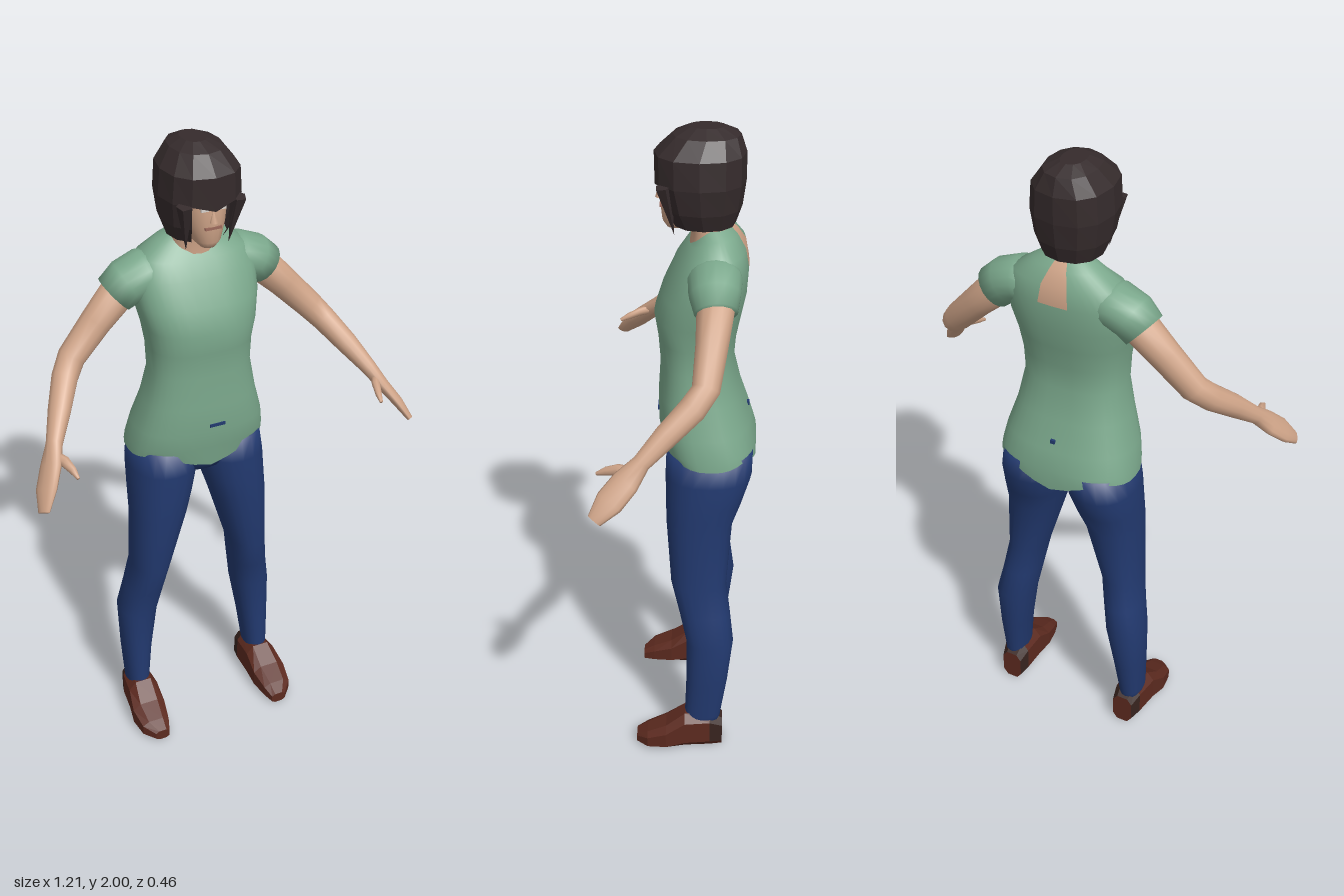
import * as THREE from 'three';

const mat = (name, color, extra = {}) => Object.assign(new THREE.MeshStandardMaterial({ color, ...extra }), { name });
const M = {
  shirt: mat('sage shirt', 0x7ba88c, { side: THREE.DoubleSide }),
  skin: mat('skin', 0xcfa488),
  jeans: mat('blue denim', 0x22396f),
  hair: mat('dark hair', 0x352b2c, { side: THREE.DoubleSide }),
  shoe: mat('brown leather', 0x5c2a1f),
  shoeDark: mat('dark leather', 0x38241f),
  lips: mat('lips', 0x9c6a5c),
  eye: mat('eye white', 0xd8d2cc),
};

// Rounded-square cosine/sine for cross-sections
const soft = (v, p) => Math.sign(v) * Math.abs(v) ** p;

// Horizontal ring from a side-to-side radius and front/back depths
function slice(y, cx, rx, zf, zb, n = 20, p = 0.9, lift = () => 0) {
  return Array.from({ length: n }, (_, j) => {
    const a = (j / n) * Math.PI * 2, c = Math.cos(a), s = Math.sin(a);
    return new THREE.Vector3(cx + rx * soft(c, p), y + lift(c, s), (zf + zb) / 2 + ((zf - zb) / 2) * soft(s, p));
  });
}

// Rings square to a path; each point is [x, y, z, wide radius, thin radius]
function pathRings(pts, thinAxis, n = 12) {
  const P = pts.map(q => new THREE.Vector3(q[0], q[1], q[2]));
  return P.map((c, i) => {
    const t = P[Math.min(i + 1, P.length - 1)].clone().sub(P[Math.max(i - 1, 0)]).normalize();
    const u = t.clone().cross(thinAxis).normalize(), v = t.clone().cross(u);
    return Array.from({ length: n }, (_, j) => {
      const a = (j / n) * Math.PI * 2;
      return c.clone().addScaledVector(u, pts[i][3] * Math.cos(a)).addScaledVector(v, pts[i][4] * Math.sin(a));
    });
  });
}

// Skin a list of rings; pick(i, j) gives the material index of a face, or -1 for a hole
function loft(rings, { flat = false, caps = [true, true], pick = () => 0, mirror = false } = {}) {
  const n = rings[0].length, pos = [], faces = [[], []];
  const pts = rings.flat();
  rings.forEach((r, i) => r.forEach((_, j) => {
    if (i === rings.length - 1) return;
    const m = pick(i, j);
    if (m < 0) return;
    const a = i * n + j, b = i * n + (j + 1) % n;
    faces[m].push(a, b, b + n, a, b + n, a + n);
  }));
  caps.forEach((on, e) => {
    if (!on) return;
    const base = e ? (rings.length - 1) * n : 0, ring = e ? rings[rings.length - 1] : rings[0];
    const mid = pts.push(ring.reduce((s, q) => s.add(q), new THREE.Vector3()).divideScalar(n)) - 1;
    for (let j = 0; j < n; j++) {
      const a = base + j, b = base + (j + 1) % n;
      faces[0].push(...(e ? [a, b, mid] : [b, a, mid]));
    }
  });
  pts.forEach(q => pos.push(mirror ? -q.x : q.x, q.y, q.z));
  const index = faces.flat();
  // Turn every face outward
  const at = k => new THREE.Vector3().fromArray(pos, k * 3);
  const mid = pts.reduce((s, q) => s.add(q), new THREE.Vector3()).divideScalar(pts.length);
  mid.set(0, 0, 0);
  pts.forEach((_, k) => mid.addScaledVector(at(k), 1 / pts.length));
  let volume = 0;
  for (let k = 0; k < index.length; k += 3) {
    const [a, b, c] = [0, 1, 2].map(o => at(index[k + o]).sub(mid));
    volume += a.dot(b.cross(c));
  }
  if (volume < 0) for (let k = 0; k < index.length; k += 3) [index[k], index[k + 1]] = [index[k + 1], index[k]];
  let g = new THREE.BufferGeometry();
  g.setAttribute('position', new THREE.Float32BufferAttribute(pos, 3));
  g.setIndex(index);
  if (flat) g = g.toNonIndexed();
  g.addGroup(0, faces[0].length, 0);
  if (faces[1].length) g.addGroup(faces[0].length, faces[1].length, 1);
  else g.clearGroups();
  g.computeVertexNormals();
  return g;
}

export function createModel() {
  const model = new THREE.Group();
  model.name = 'woman';
  const add = (name, geo, material, x = 0, y = 0, z = 0) => {
    const m = new THREE.Mesh(geo, material);
    m.name = name;
    m.position.set(x, y, z);
    model.add(m);
    return m;
  };
  const pair = (name, rings, material, opts = {}) => {
    add('left' + name, loft(rings, opts), material);
    add('right' + name, loft(rings, { ...opts, mirror: true }), material);
  };

  // Shirt body: V hem, scooped neckline and a bare patch at the nape
  const hem = c => 0.05 * Math.min(1, Math.abs(c) * 1.5) - 0.012 * Math.max(0, Math.abs(c) - 0.8) * 5;
  const scoop = k => (c, s) => -k * Math.max(0, s);
  const torso = [
    [0.98, 0.217, 0.034, -0.238, hem], [1.05, 0.214, 0.045, -0.238], [1.11, 0.203, 0.055, -0.22],
    [1.2, 0.176, 0.056, -0.19], [1.3, 0.156, 0.05, -0.166], [1.38, 0.159, 0.056, -0.172],
    [1.45, 0.17, 0.067, -0.186], [1.52, 0.185, 0.045, -0.2], [1.6, 0.188, 0.008, -0.205],
    [1.655, 0.163, -0.022, -0.195, scoop(0.01)], [1.695, 0.105, -0.035, -0.17, scoop(0.035)],
    [1.715, 0.072, -0.04, -0.148, scoop(0.05)],
  ].map(([y, rx, zf, zb, lift]) => slice(y, 0, rx, zf, zb, 36, 0.8, lift));
  add('shirtBody', loft(torso, {
    caps: [false, false], pick: (i, j) => (i >= 8 && (j === 26 || j === 27) ? 1 : 0),
  }), [M.shirt, M.skin]);

  // Sleeves
  const across = new THREE.Vector3(0.75, 0.6, 0.12);
  pair('Sleeve', pathRings([
    [0.08, 1.6, -0.11, 0.07, 0.06], [0.15, 1.598, -0.108, 0.078, 0.068],
    [0.2, 1.578, -0.11, 0.072, 0.068], [0.238, 1.545, -0.114, 0.061, 0.064],
  ], across, 18), M.shirt);

  // Arms with flat hands and thumbs
  pair('Arm', pathRings([
    [0.2, 1.575, -0.115, 0.056, 0.056], [0.3, 1.475, -0.104, 0.046, 0.047], [0.385, 1.385, -0.09, 0.04, 0.042],
    [0.42, 1.345, -0.055, 0.04, 0.038], [0.465, 1.285, 0.015, 0.035, 0.033], [0.507, 1.225, 0.08, 0.026, 0.024],
    [0.535, 1.18, 0.122, 0.04, 0.019], [0.566, 1.135, 0.165, 0.041, 0.016], [0.59, 1.09, 0.205, 0.022, 0.009],
  ], across), M.skin);
  pair('Thumb', pathRings([
    [0.522, 1.2, 0.1, 0.018, 0.015], [0.499, 1.198, 0.145, 0.016, 0.012],
    [0.489, 1.187, 0.178, 0.012, 0.01], [0.484, 1.175, 0.205, 0.005, 0.005],
  ], across, 8), M.skin);

  // Jeans: seat and legs
  add('jeansSeat', loft([
    slice(1.06, 0, 0.195, 0.03, -0.222), slice(1, 0, 0.192, 0.026, -0.222), slice(0.95, 0, 0.09, 0.005, -0.16),
  ]), M.jeans);
  pair('Leg', [
    [1.04, 0.106, 0.1, 0.03, -0.228], [0.96, 0.112, 0.106, 0.033, -0.226], [0.88, 0.123, 0.098, 0.032, -0.2],
    [0.8, 0.136, 0.088, 0.03, -0.17], [0.6, 0.168, 0.06, 0.015, -0.155], [0.5, 0.184, 0.06, -0.01, -0.168],
    [0.4, 0.202, 0.062, -0.033, -0.18], [0.25, 0.213, 0.048, -0.034, -0.163], [0.12, 0.218, 0.037, -0.03, -0.143],
    [0.08, 0.218, 0.035, -0.03, -0.14],
  ].map(([y, cx, rx, zf, zb]) => slice(y, cx, rx, zf, zb)), M.jeans);

  // Shoes, with a darker heel counter
  const shoe = [
    [-0.15, 0.212, 0.034, 0.105], [-0.11, 0.214, 0.044, 0.13], [-0.03, 0.218, 0.05, 0.13],
    [0.03, 0.223, 0.056, 0.085], [0.09, 0.224, 0.046, 0.056], [0.125, 0.214, 0.024, 0.035],
  ].map(([z, cx, w, h]) => Array.from({ length: 8 }, (_, j) => {
    const a = ((j + 0.5) / 8) * Math.PI * 2;
    return new THREE.Vector3(cx + w * soft(Math.cos(a), 0.7) * 1.05, (h / 2) * (1 + soft(Math.sin(a), 0.6) / 0.953), z);
  }));
  pair('Shoe', shoe, [M.shoe, M.shoeDark], { flat: true, pick: (i, j) => (i === 0 && (j < 4 || j === 7) ? 1 : 0) });

  // Neck and head
  add('neck', loft([
    slice(1.6, 0, 0.07, -0.04, -0.16), slice(1.66, 0, 0.068, -0.034, -0.152),
    slice(1.7, 0, 0.058, -0.04, -0.14), slice(1.78, 0, 0.052, -0.02, -0.13),
  ]), M.skin);
  add('head', loft([
    [1.705, 0.022, 0.03, -0.02], [1.725, 0.042, 0.043, -0.07], [1.775, 0.06, 0.049, -0.12],
    [1.83, 0.07, 0.05, -0.15], [1.9, 0.07, 0.04, -0.15], [1.95, 0.045, 0, -0.12],
  ].map(([y, rx, zf, zb]) => slice(y, 0, rx, zf, zb))), M.skin);
  add('nose', new THREE.ConeGeometry(0.013, 0.045, 6), M.skin, 0, 1.812, 0.05);
  add('mouth', new THREE.BoxGeometry(0.05, 0.008, 0.008), M.lips, 0, 1.772, 0.046);
  for (const s of [1, -1]) add(s > 0 ? 'leftEye' : 'rightEye', new THREE.BoxGeometry(0.022, 0.01, 0.008), M.eye, s * 0.026, 1.83, 0.046);

  // Faceted bob, open in front of the face
  const fringe = (c, s) => (s > 0.9 ? -0.018 : 0);
  add('hair', loft([
    slice(1.72, 0, 0.088, 0.015, -0.165, 12), slice(1.77, 0, 0.108, 0.045, -0.182, 12),
    slice(1.845, 0, 0.118, 0.064, -0.192, 12, 0.85, fringe), slice(1.925, 0, 0.112, 0.066, -0.192, 12, 0.85),
    slice(1.975, 0, 0.075, 0.015, -0.175, 12), slice(1.995, -0.005, 0.035, -0.03, -0.13, 12),
  ], { flat: true, caps: [false, true], pick: (i, j) => (i < 2 && (j === 2 || j === 3) ? -1 : 0) }), M.hair);

  // Pointed locks framing the face
  for (const s of [1, -1]) {
    const lock = add(s > 0 ? 'leftLock' : 'rightLock', new THREE.ConeGeometry(0.024, 0.15, 5).toNonIndexed(), M.hair, s * 0.073, 1.775, 0.022);
    lock.geometry.computeVertexNormals();
    lock.rotation.set(Math.PI + 0.2, 0, s * 0.1);
  }

  // Small gaps in the shirt where the jeans show
  add('frontGap', new THREE.BoxGeometry(0.05, 0.01, 0.008), M.jeans, 0.012, 1.135, 0.054);
  add('backGap', new THREE.BoxGeometry(0.014, 0.012, 0.008), M.jeans, 0, 1.14, -0.212);
  return model;
}
